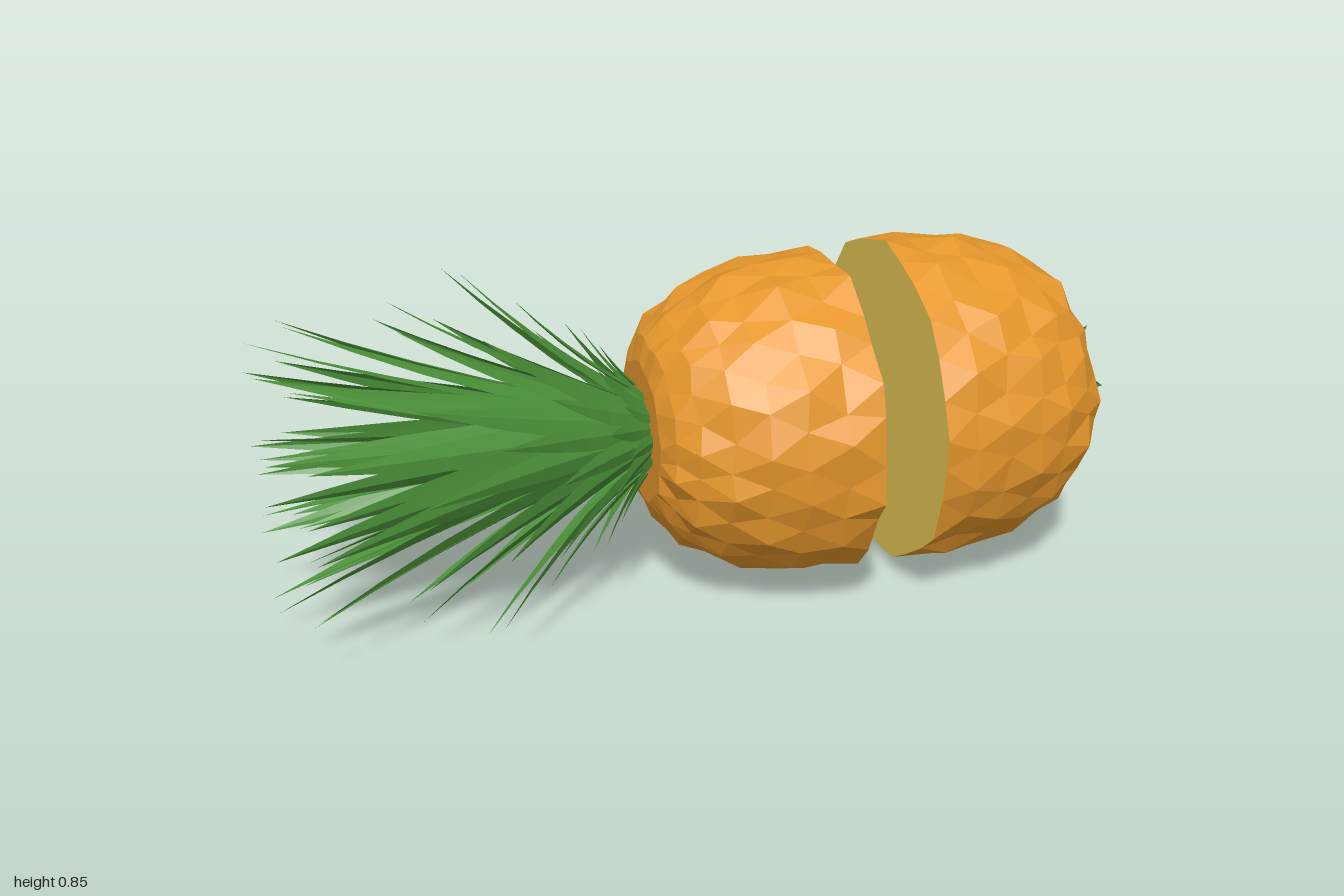
import * as THREE from 'three';

const AXIS_Y = 0.42; // height of the fruit's lengthwise axis
const COLS = 27;     // facets around the rind

// point at distance x along the axis, radius r, angle a (0 = up)
const polar = (x, r, a) => [x, AXIS_Y + r * Math.cos(a), r * Math.sin(a)];

function seeded(seed) {
  return () => {
    seed = (seed * 16807) % 2147483647;
    return seed / 2147483647;
  };
}

// unshared corners give crisp flat facets
function facets(points) {
  const geo = new THREE.BufferGeometry();
  geo.setAttribute('position', new THREE.Float32BufferAttribute(points.flat(), 3));
  geo.computeVertexNormals();
  return geo;
}

// staggered rings of facets, every third one raised as the middle of a scale
function rindRings(profile, rand) {
  return profile.map(([x, r], i) => {
    const end = i === 0 || i === profile.length - 1;
    return Array.from({ length: COLS }, (_, j) => {
      const tone = (((j - Math.floor(i / 2) + 2 * i) % 3) + 3) % 3;
      const bump = (tone === 0 ? 0.008 : -0.005) + (rand() - 0.5) * 0.012;
      const dx = end ? 0 : (rand() - 0.5) * 0.016;
      const a = ((j + (i % 2) * 0.5 + (rand() - 0.5) * 0.35) / COLS) * Math.PI * 2;
      return polar(x + dx, r + bump, a);
    });
  });
}

function rindGeometry(rings) {
  const pts = [];
  for (let i = 0; i < rings.length - 1; i++) {
    for (let j = 0; j < COLS; j++) {
      const k = (j + 1) % COLS;
      const a = rings[i][j], b = rings[i][k], c = rings[i + 1][j], d = rings[i + 1][k];
      if (i % 2 === 0) pts.push(a, b, c, c, b, d);
      else pts.push(a, b, d, a, d, c);
    }
  }
  return facets(pts);
}

// flat disc closing a ring, facing +x (dir 1) or -x (dir -1)
function capGeometry(ring, dir) {
  const pts = [], centre = [ring[0][0], AXIS_Y, 0];
  ring.forEach((p, j) => {
    const q = ring[(j + 1) % ring.length];
    pts.push(centre, ...(dir > 0 ? [p, q] : [q, p]));
  });
  return facets(pts);
}

// pointed, slightly folded leaf swept from base to tip along a gentle curve
function leafPoints(base, bend, tip, width, angle) {
  const curve = new THREE.QuadraticBezierCurve(
    new THREE.Vector2(...base), new THREE.Vector2(...bend), new THREE.Vector2(...tip));
  const halfWidths = [0.7, 0.95, 1, 0.75, 0.4, 0];
  const rows = halfWidths.map((w, i) => {
    const t = i / (halfWidths.length - 1);
    const p = curve.getPoint(t), d = curve.getTangent(t);
    const half = (w * width) / 2, fold = half * 0.3;
    // the rims lift toward the axis side of the leaf
    const nx = -Math.abs(d.y) * fold, nr = -Math.abs(d.x) * fold;
    const at = (side) => {
      const [x, y, z] = polar(p.x + (side ? nx : 0), p.y + (side ? nr : 0), angle);
      return [x, y - Math.sin(angle) * half * side, z + Math.cos(angle) * half * side];
    };
    return [at(-1), at(0), at(1)];
  });
  const pts = [];
  for (let i = 0; i < rows.length - 1; i++) {
    for (let s = 0; s < 2; s++) {
      const a = rows[i][s], b = rows[i][s + 1], c = rows[i + 1][s], d = rows[i + 1][s + 1];
      pts.push(a, c, b);
      if (i < rows.length - 2) pts.push(b, c, d);
    }
  }
  return pts;
}

export function createModel() {
  const rind = new THREE.MeshStandardMaterial({ color: 0xe6972c });
  const flesh = new THREE.MeshStandardMaterial({ color: 0xe8ca5a });
  const green = new THREE.MeshStandardMaterial({ color: 0x4a8f38, side: THREE.DoubleSide });
  rind.name = 'orangeRind';
  flesh.name = 'yellowFlesh';
  green.name = 'leafGreen';

  const model = new THREE.Group();
  model.name = 'slicedPineapple';
  const add = (parent, name, geo, mat) => {
    const mesh = new THREE.Mesh(geo, mat);
    mesh.name = name;
    parent.add(mesh);
  };
  const rand = seeded(4217);

  // two fruit halves, each with a rind, a cut face and an end face
  const halves = [
    { name: 'crownHalf', cutDir: 1, profile: [[-0.12, 0.17], [-0.098, 0.225], [-0.055, 0.275],
      [0.01, 0.32], [0.085, 0.355], [0.17, 0.376], [0.26, 0.382], [0.345, 0.386]] },
    { name: 'baseHalf', cutDir: -1, profile: [[0.49, 0.394], [0.57, 0.394], [0.655, 0.386],
      [0.74, 0.37], [0.82, 0.345], [0.89, 0.305], [0.942, 0.25], [0.973, 0.17]] },
  ];
  for (const { name, cutDir, profile } of halves) {
    const half = new THREE.Group();
    half.name = name;
    const rings = rindRings(profile, rand);
    const first = rings[0], last = rings[rings.length - 1];
    add(half, 'rind', rindGeometry(rings), rind);
    add(half, 'cutFace', capGeometry(cutDir > 0 ? last : first, cutDir), flesh);
    add(half, 'endFace', capGeometry(cutDir > 0 ? first : last, -cutDir), rind);
    model.add(half);
  }

  // crown rings: tip x, tip radius, base x, base radius, leaf width, count
  const crownRings = [
    [-0.2, 0.21, -0.11, 0.1, 0.04, 11],
    [-0.26, 0.275, -0.12, 0.1, 0.045, 11],
    [-0.39, 0.335, -0.12, 0.1, 0.055, 11],
    [-0.53, 0.436, -0.13, 0.09, 0.06, 11],
    [-0.69, 0.37, -0.15, 0.08, 0.07, 11],
    [-0.92, 0.355, -0.17, 0.07, 0.08, 11],
    [-1.0, 0.305, -0.2, 0.06, 0.08, 9],
    [-0.92, 0.2, -0.23, 0.05, 0.08, 7],
    [-1.0, 0.09, -0.26, 0.03, 0.075, 5],
  ];
  const crown = new THREE.Group();
  crown.name = 'leafCrown';
  crownRings.forEach(([tx, tr, bx, br, width, count], i) => {
    const pts = [];
    const bend = [bx + (tx - bx) * 0.5, br + (tr - br) * 0.38];
    for (let j = 0; j < count; j++) {
      const angle = ((j + (i % 2 ? 0 : 0.5)) / count) * Math.PI * 2;
      pts.push(...leafPoints([bx, br], bend, [tx, tr], width, angle));
    }
    add(crown, 'leafRing' + (i + 1), facets(pts), green);
  });
  // stem the leaves grow from
  const stem = new THREE.CylinderGeometry(0.1, 0.02, 0.2, 11);
  stem.rotateZ(-Math.PI / 2).translate(-0.2, AXIS_Y, 0);
  add(crown, 'stem', stem, green);
  model.add(crown);

  // seven small bracts on the base end, one pointing straight down
  const bracts = [];
  for (let j = 0; j < 7; j++) {
    const angle = Math.PI + (j / 7) * Math.PI * 2;
    bracts.push(...leafPoints([0.976, 0.075], [0.99, 0.105], [1.0, 0.178], 0.055, angle));
  }
  add(model, 'baseBracts', facets(bracts), green);
  return model;
}
